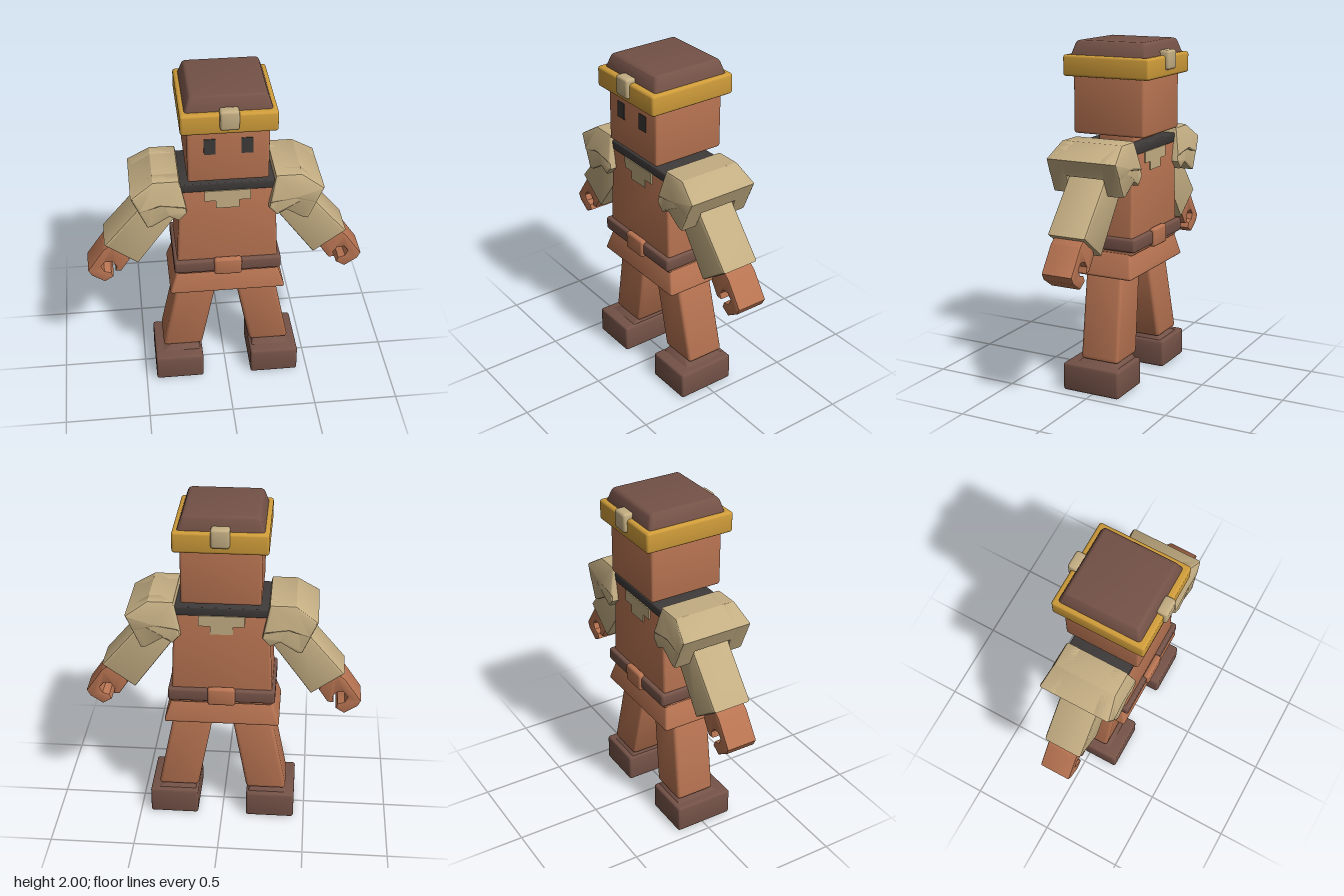
import * as THREE from 'three';
import { RoundedBoxGeometry } from 'three/addons/geometries/RoundedBoxGeometry.js';
import { toCreasedNormals } from 'three/addons/utils/BufferGeometryUtils.js';

const mat = (name, color) => {
  const m = new THREE.MeshStandardMaterial({ color });
  m.name = name;
  return m;
};

export function createModel() {
  const model = new THREE.Group();
  model.name = 'blockFigure';
  const skin = mat('clayBrown', 0xb87452);
  const brown = mat('darkBrown', 0x745247);
  const gold = mat('gold', 0xcf9c3a);
  const tan = mat('tan', 0xc4ae83);
  const dark = mat('charcoal', 0x3d3a39);

  const add = (name, geometry, material) => {
    const mesh = new THREE.Mesh(geometry, material);
    mesh.name = name;
    model.add(mesh);
    return mesh;
  };

  // Softened block between two rectangles [x, z, width, depth] at heights y0 and y1
  const block = (y0, y1, a, b = a, r = 0.015) => {
    const h = y1 - y0;
    const g = new RoundedBoxGeometry(1, h, 1, 2, Math.min(r, h * 0.4));
    // shape the corners at true size: rounded inset is rescaled per axis
    const p = g.attributes.position, L = THREE.MathUtils.lerp;
    const rr = Math.min(r, h * 0.4);
    const fit = (v, size) => {
      const core = 0.5 - rr, m = Math.abs(v);
      const out = m >= core - 1e-6 ? size / 2 - rr + (m - core) : m / core * (size / 2 - rr);
      return Math.sign(v) * out;
    };
    for (let i = 0; i < p.count; i++) {
      const y = p.getY(i), t = y / h + 0.5;
      p.setXYZ(i,
        L(a[0], b[0], t) + fit(p.getX(i), L(a[2], b[2], t)),
        y + (y0 + y1) / 2,
        L(a[1], b[1], t) + fit(p.getZ(i), L(a[3], b[3], t)));
    }
    return toCreasedNormals(g, 0.6);
  };

  // Front outline extruded from z0 to z1 with a small bevel
  const plate = (points, z0, z1, bevel = 0.01, s = 1) => {
    const shape = new THREE.Shape(points.map(([x, y]) => new THREE.Vector2(x * s, y)));
    const g = new THREE.ExtrudeGeometry(shape, {
      depth: z1 - z0 - 2 * bevel, bevelEnabled: bevel > 0, bevelSize: bevel,
      bevelThickness: bevel, bevelOffset: -bevel, bevelSegments: 2,
    });
    return g.translate(0, 0, z0 + bevel);
  };

  // Head, band and cap
  add('head', block(1.475, 1.86, [0, 0, 0.45, 0.445]), skin);
  add('headband', block(1.8, 1.92, [0, 0, 0.525, 0.54]), gold);
  add('cap', block(1.88, 2.0, [0, -0.003, 0.5, 0.5], [0, -0.003, 0.42, 0.43], 0.02), brown);
  add('frontBandGem', block(1.83, 1.945, [0, 0.258, 0.105, 0.065]), tan);
  add('backBandGem', block(1.84, 1.95, [0, -0.258, 0.105, 0.065]), tan);
  for (const s of [1, -1]) {
    const eye = add(s > 0 ? 'leftEye' : 'rightEye', new THREE.BoxGeometry(0.064, 0.095, 0.006), dark);
    eye.position.set(0.102 * s, 1.698, 0.2235);
  }

  // Neck, torso, belt and skirt
  add('neck', block(1.4, 1.49, [0, 0, 0.26, 0.23]), skin);
  add('torso', block(0.81, 1.39, [0, 0, 0.59, 0.37], [0, 0, 0.54, 0.36]), skin);
  add('collar', block(1.38, 1.435, [0, 0, 0.54, 0.365], undefined, 0.008), dark);
  const bib = [[-0.13, 1.385], [-0.13, 1.32], [-0.065, 1.32], [-0.065, 1.27],
    [0.065, 1.27], [0.065, 1.32], [0.13, 1.32], [0.13, 1.385]];
  add('frontBib', plate(bib, 0.18, 0.188, 0), tan);
  add('backBib', plate(bib, -0.188, -0.18, 0), tan);
  add('belt', block(0.835, 0.915, [0, 0, 0.62, 0.42]), brown);
  add('frontBuckle', block(0.82, 0.93, [0, 0.205, 0.16, 0.04]), skin);
  add('backBuckle', block(0.82, 0.93, [0, -0.205, 0.16, 0.04]), skin);
  add('skirt', block(0.68, 0.84, [0, 0, 0.68, 0.405], [0, 0, 0.575, 0.34]), skin);

  // Outlines for the right limbs, mirrored by s
  const handOutline = [[-0.65, 1.0], [-0.71, 0.955], [-0.81, 0.81], [-0.79, 0.772], [-0.715, 0.722],
    [-0.663, 0.755], [-0.675, 0.787], [-0.715, 0.8], [-0.73, 0.835], [-0.705, 0.865],
    [-0.665, 0.862], [-0.642, 0.83], [-0.65, 0.795], [-0.615, 0.795], [-0.562, 0.875], [-0.58, 0.95]];
  const sleeveOutline = [[-0.705, 1.0], [-0.46, 1.29], [-0.36, 1.37], [-0.24, 1.24], [-0.515, 0.86]];
  const roofOutline = [[-0.542, 1.38], [-0.415, 1.465], [-0.27, 1.465], [-0.235, 1.3], [-0.38, 1.32], [-0.498, 1.285]];
  const flapOutline = [[-0.542, 1.38], [-0.415, 1.465], [-0.27, 1.465], [-0.23, 1.27],
    [-0.275, 1.22], [-0.33, 1.25], [-0.425, 1.19], [-0.455, 1.185]];

  // Shoulder pad pieces narrow in depth toward the top
  const taperPad = (g) => {
    const p = g.attributes.position;
    for (let i = 0; i < p.count; i++) {
      const k = 1 - 0.17 * THREE.MathUtils.smoothstep(p.getY(i), 1.34, 1.5);
      p.setZ(i, p.getZ(i) * k);
    }
    return toCreasedNormals(g, 0.5);
  };

  for (const [s, side] of [[1, 'left'], [-1, 'right']]) {
    const m = -s;
    // Arm
    add(side + 'Sleeve', toCreasedNormals(plate(sleeveOutline, -0.117, 0.117, 0.015, m), 0.5), tan);
    add(side + 'Hand', toCreasedNormals(plate(handOutline, -0.095, 0.092, 0.008, m), 0.5), skin);
    add(side + 'ShoulderPadRoof', taperPad(plate(roofOutline, -0.222, 0.222, 0.012, m)), tan);
    add(side + 'ShoulderPadFrontFlap', taperPad(plate(flapOutline, 0.115, 0.222, 0.012, m)), tan);
    add(side + 'ShoulderPadBackFlap', taperPad(plate(flapOutline, -0.222, -0.115, 0.012, m)), tan);
    // Leg and shoe
    add(side + 'Leg', block(0.19, 0.72, [0.267 * s, -0.023, 0.24, 0.24], [0.164 * s, 0, 0.235, 0.23], 0.02), skin);
    add(side + 'Ankle', block(0.15, 0.197, [0.285 * s, -0.01, 0.26, 0.29], [0.25 * s, -0.015, 0.15, 0.2], 0.006), brown);
    add(side + 'Shoe', block(0, 0.165, [0.292 * s, 0.008, 0.29, 0.36]), brown);
  }
  return model;
}
